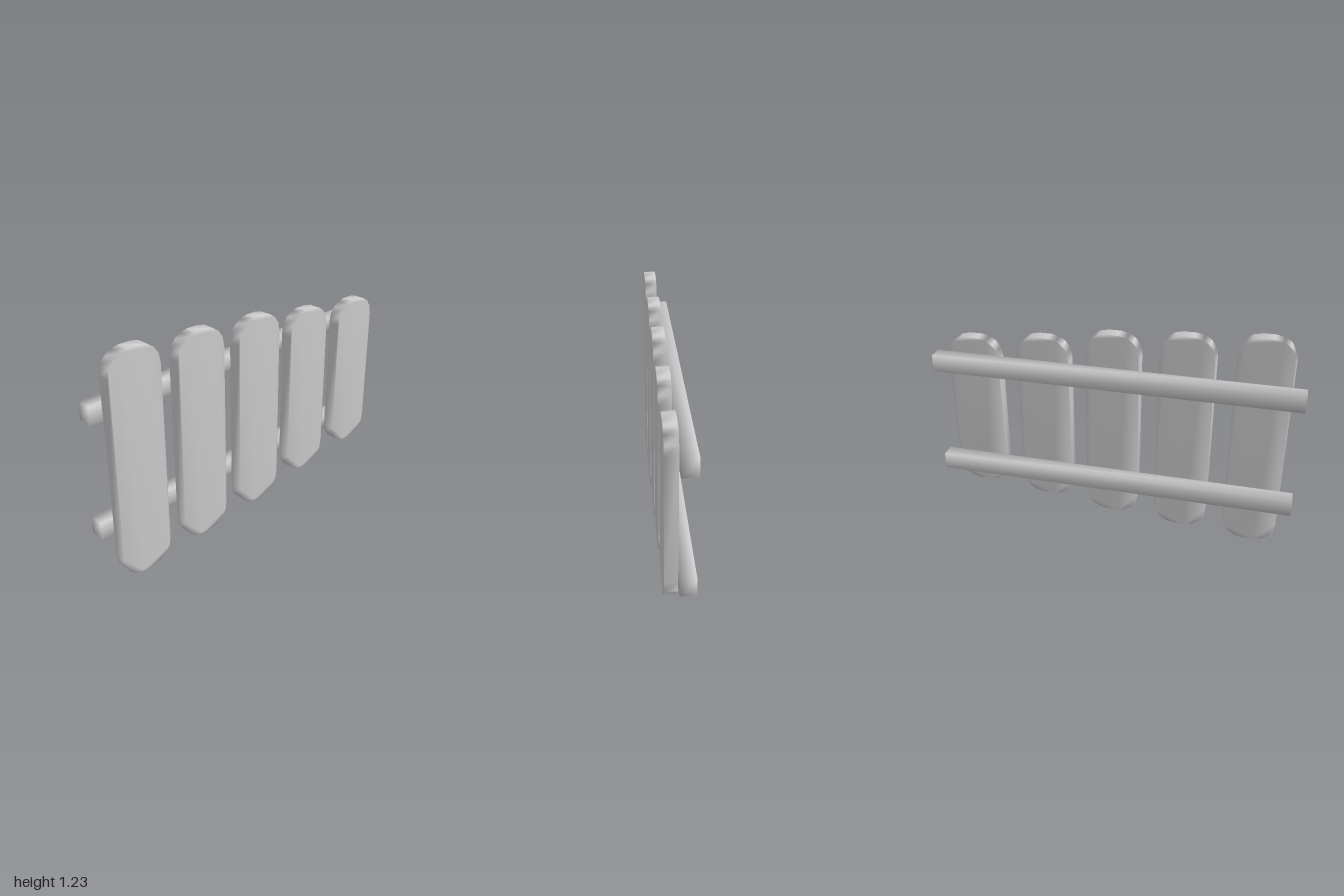
import * as THREE from 'three';
import { mergeVertices } from 'three/addons/utils/BufferGeometryUtils.js';

const material = new THREE.MeshStandardMaterial({ color: 0xcccccc });

// Weld all corners so the shading runs softly over the edges
function smooth(geometry) {
  geometry.deleteAttribute('uv');
  geometry.deleteAttribute('normal');
  const welded = mergeVertices(geometry, 1e-4);
  welded.computeVertexNormals();
  return welded;
}

// Outline of a plank with softly rounded corners, centred on the origin
function plankShape(width, height) {
  const corner = [[0, 0.12], [0.01, 0.07], [0.035, 0.033], [0.07, 0.01], [0.115, 0]];
  const w = width / 2, h = height / 2;
  const points = [];
  for (const [sx, sy] of [[1, 1], [-1, 1], [-1, -1], [1, -1]]) {
    const arc = corner.map(([dx, dy]) => new THREE.Vector2(sx * (w - dx), sy * (h - dy)));
    if (sx * sy < 0) arc.reverse();
    points.push(...arc);
  }
  return new THREE.Shape(points);
}

export function createModel() {
  const fence = new THREE.Group();
  fence.name = 'fence';

  // Upright planks, shrinking towards +x: [centre x, bottom, top]
  const planks = [
    [-0.783, 0, 1.23],
    [-0.387, 0.033, 1.2],
    [0.008, 0.065, 1.17],
    [0.393, 0.12, 1.113],
    [0.793, 0.16, 1.073],
  ];
  planks.forEach(([x, bottom, top], i) => {
    const geometry = new THREE.ExtrudeGeometry(plankShape(0.295, top - bottom), {
      depth: 0.066, bevelEnabled: false,
    });
    const plank = new THREE.Mesh(smooth(geometry), material);
    plank.name = `plank${i + 1}`;
    plank.position.set(x, (bottom + top) / 2, 0.008);
    fence.add(plank);
  });

  // Two horizontal rails behind the planks
  for (const [name, y] of [['lowerRail', 0.301], ['upperRail', 0.933]]) {
    const rail = new THREE.Mesh(smooth(new THREE.BoxGeometry(2, 0.094, 0.08)), material);
    rail.name = name;
    rail.position.set(0, y, -0.034);
    fence.add(rail);
  }
  return fence;
}
